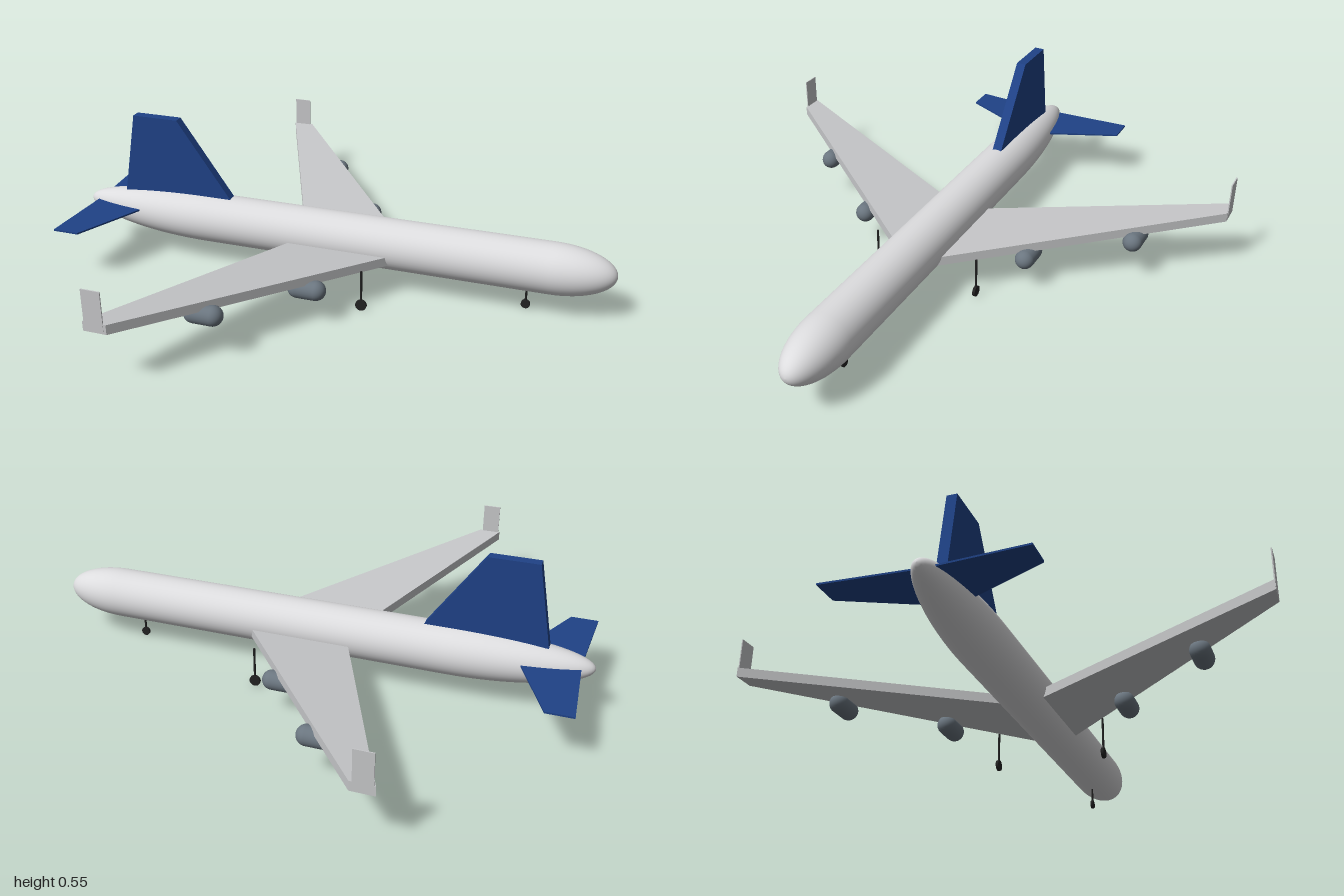
import * as THREE from 'three';

const mat = (name, color) => {
  const m = new THREE.MeshStandardMaterial({ color });
  m.name = name;
  return m;
};

export function createModel() {
  const body = mat('fuselage white', 0xdcdcde);
  const wingGrey = mat('wing grey', 0xc6c7c9);
  const blue = mat('tail blue', 0x1f4287);
  const engineGrey = mat('engine grey', 0x6b7680);
  const black = mat('gear black', 0x222222);
  const model = new THREE.Group();
  model.name = 'airliner';

  const add = (name, geometry, material, x = 0, y = 0, z = 0) => {
    const mesh = new THREE.Mesh(geometry, material);
    mesh.name = name;
    mesh.position.set(x, y, z);
    model.add(mesh);
    return mesh;
  };

  // Tapered slab between a root and a tip section, each { z, back, front, bottom, top }
  const slab = (root, tip, side) => {
    const g = new THREE.BoxGeometry(1, 1, 1);
    const p = g.attributes.position;
    for (let i = 0; i < p.count; i++) {
      const s = p.getZ(i) * side > 0 ? tip : root;
      p.setXYZ(i, p.getX(i) > 0 ? s.front : s.back, p.getY(i) > 0 ? s.top : s.bottom, s.z * side);
    }
    g.computeVertexNormals();
    return g;
  };

  // Fuselage: long elliptical tail, straight cabin, short elliptical nose
  const R = 0.092, tailEnd = -0.5, noseStart = 0.78;
  const profile = [];
  for (let i = 0; i <= 20; i++) {
    const a = (i / 20) * Math.PI / 2;
    profile.push(new THREE.Vector2(R * Math.sin(a), tailEnd - 0.5 * Math.cos(a)));
  }
  for (let i = 0; i <= 16; i++) {
    const a = (i / 16) * Math.PI / 2;
    profile.push(new THREE.Vector2(R * Math.cos(a), noseStart + 0.22 * Math.sin(a)));
  }
  const hull = new THREE.LatheGeometry(profile, 48);
  hull.rotateZ(-Math.PI / 2);
  const hp = hull.attributes.position;
  for (let i = 0; i < hp.count; i++) {
    // Tail cone sweeps slightly upward
    const t = Math.max(0, (tailEnd - hp.getX(i)) / 0.5);
    hp.setY(i, hp.getY(i) + 0.015 * t * t);
  }
  add('fuselage', hull, body, 0, 0.172, 0);

  // Tail fin
  const finShape = new THREE.Shape([
    new THREE.Vector2(-0.84, 0.245), new THREE.Vector2(-0.4, 0.25),
    new THREE.Vector2(-0.61, 0.55), new THREE.Vector2(-0.785, 0.55),
  ]);
  add('tailFin', new THREE.ExtrudeGeometry(finShape, { depth: 0.036, bevelEnabled: false }), blue, 0, 0, -0.018);

  for (const side of [1, -1]) {
    const label = side > 0 ? 'left' : 'right';

    // Swept wing with dihedral, and upright winglet
    add(label + 'Wing', slab(
      { z: 0.07, back: -0.147, front: 0.226, bottom: 0.124, top: 0.158 },
      { z: 0.91, back: -0.5, front: -0.42, bottom: 0.2, top: 0.234 }, side), wingGrey);
    add(label + 'Winglet', new THREE.BoxGeometry(0.065, 0.14, 0.004), wingGrey, -0.462, 0.275, side * 0.909);

    // Horizontal stabiliser
    add(label + 'Stabiliser', slab(
      { z: 0, back: -0.953, front: -0.724, bottom: 0.191, top: 0.197 },
      { z: 0.328, back: -0.972, front: -0.875, bottom: 0.191, top: 0.197 }, side), blue);

    // Two engines under each wing
    for (const [name, x, y, z] of [['InnerEngine', 0.005, 0.125, 0.33], ['OuterEngine', -0.232, 0.157, 0.64]]) {
      const geometry = new THREE.CapsuleGeometry(0.035, 0.066, 8, 24);
      geometry.rotateZ(-Math.PI / 2);
      add(label + name, geometry, engineGrey, x, y, side * z);
    }
  }

  // Landing gear: thin strut and one wheel each
  const gear = (name, x, z, wheelRadius, top) => {
    add(name + 'Strut', new THREE.CylinderGeometry(0.004, 0.004, top - wheelRadius, 10), black,
      x, (top + wheelRadius) / 2, z);
    const wheel = new THREE.CylinderGeometry(wheelRadius, wheelRadius, 0.01, 24);
    wheel.rotateX(Math.PI / 2);
    add(name + 'Wheel', wheel, black, x, wheelRadius, z);
  };
  gear('noseGear', 0.7, 0, 0.016, 0.1);
  gear('leftMainGear', 0.158, 0.2, 0.02, 0.152);
  gear('rightMainGear', 0.158, -0.2, 0.02, 0.152);

  return model;
}
